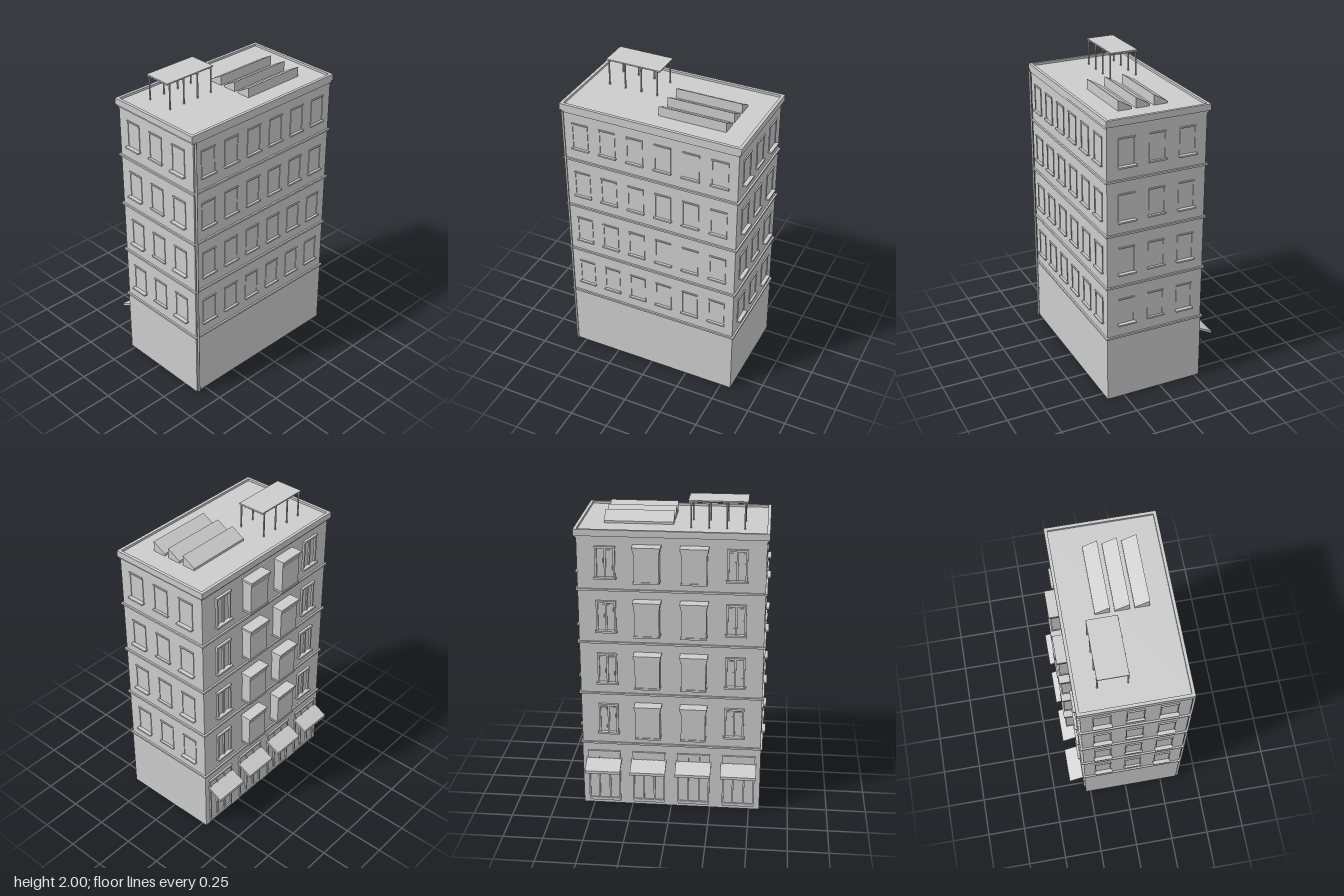
import * as THREE from 'three';

const wall = new THREE.MeshStandardMaterial({ color: 0xcccccc });
wall.name = 'plaster grey';

// Box given by its min and max corners
function box(parent, name, x0, x1, y0, y1, z0, z1) {
  const mesh = new THREE.Mesh(new THREE.BoxGeometry(x1 - x0, y1 - y0, z1 - z0), wall);
  mesh.position.set((x0 + x1) / 2, (y0 + y1) / 2, (z0 + z1) / 2);
  mesh.name = name;
  parent.add(mesh);
  return mesh;
}

function cylinder(parent, name, x, y0, y1, z, r) {
  const mesh = new THREE.Mesh(new THREE.CylinderGeometry(r, r, y1 - y0, 10), wall);
  mesh.position.set(x, (y0 + y1) / 2, z);
  mesh.name = name;
  parent.add(mesh);
}

// Side profile in (z, y) extruded along x
function prism(parent, name, points, x0, x1) {
  const shape = new THREE.Shape(points.map(([z, y]) => new THREE.Vector2(-z, y)));
  const geo = new THREE.ExtrudeGeometry(shape, { depth: x1 - x0, bevelEnabled: false });
  geo.rotateY(Math.PI / 2);
  const mesh = new THREE.Mesh(geo, wall);
  mesh.position.x = x0;
  mesh.name = name;
  parent.add(mesh);
}

// Window built on the z = 0 plane facing +z, y = 0 at the sill
function plainWindow(name, sillDepth = 0.016) {
  const g = new THREE.Group();
  g.name = name;
  box(g, 'sill', -0.058, 0.058, -0.005, 0.005, -0.01, sillDepth);
  box(g, 'lintel', -0.053, 0.053, 0.168, 0.176, -0.01, 0.008);
  for (const s of [-1, 1]) box(g, 'jamb', s * 0.05 - 0.003, s * 0.05 + 0.003, 0.005, 0.17, -0.01, 0.004);
  return g;
}

function casementWindow(name) {
  const g = new THREE.Group();
  g.name = name;
  box(g, 'sill', -0.067, 0.067, -0.006, 0.006, -0.01, 0.026);
  box(g, 'lintel', -0.062, 0.062, 0.186, 0.198, -0.01, 0.016);
  for (const s of [-1, 1]) box(g, 'jamb', s * 0.055 - 0.006, s * 0.055 + 0.006, 0, 0.19, -0.01, 0.012);
  box(g, 'mullion', -0.006, 0.006, 0, 0.19, -0.01, 0.009);
  for (const s of [-1, 1]) {
    box(g, 'sash', s * 0.028 - 0.016, s * 0.028 + 0.016, 0.018, 0.174, -0.01, 0.004);
  }
  return g;
}

function bayWindow(name) {
  const g = new THREE.Group();
  g.name = name;
  box(g, 'bayBody', -0.076, 0.076, 0.008, 0.215, -0.01, 0.062);
  box(g, 'bayBase', -0.08, 0.08, 0, 0.012, -0.01, 0.067);
  box(g, 'bayCap', -0.085, 0.085, 0.213, 0.226, -0.01, 0.074);
  box(g, 'bayHead', -0.08, 0.08, 0.19, 0.213, -0.01, 0.067);
  return g;
}

function shopfront(name) {
  const g = new THREE.Group();
  g.name = name;
  box(g, 'header', -0.105, 0.105, 0.37, 0.382, -0.01, 0.012);
  box(g, 'transom', -0.095, 0.095, 0.3, 0.37, -0.01, 0.006);
  box(g, 'rail', -0.1, 0.1, 0.288, 0.3, -0.01, 0.009);
  for (const x of [-0.098, -0.035, 0.035, 0.098]) box(g, 'post', x - 0.005, x + 0.005, 0.03, 0.37, -0.01, 0.01);
  box(g, 'plinth', -0.1, 0.1, 0.02, 0.04, -0.01, 0.009);
  return g;
}

export function createModel() {
  const model = new THREE.Group();
  model.name = 'apartmentBlock';
  const X = 0.566, F = 0.36, B = -0.28;

  // Walls and storey bands
  box(model, 'groundFloor', -X - 0.002, X + 0.002, 0, 0.432, B - 0.002, F + 0.002);
  box(model, 'upperWalls', -X, X, 0.43, 1.81, B, F);
  for (const y of [0.438, 0.785, 1.128, 1.47]) {
    box(model, 'storeyBand', -X - 0.011, X + 0.011, y - 0.006, y + 0.006, B - 0.011, F + 0.011);
  }

  // Cornice with a raised rim around the roof
  const rx = 0.581, rf = 0.369, rb = -0.297, w = 0.019;
  box(model, 'corniceMoulding', -X - 0.006, X + 0.006, 1.792, 1.808, B - 0.006, F + 0.006);
  box(model, 'roofSlab', -rx, rx, 1.806, 1.832, rb, rf);
  for (const s of [-1, 1]) {
    box(model, 'parapetSide', s * (rx - w / 2) - w / 2, s * (rx - w / 2) + w / 2, 1.832, 1.846, rb, rf);
  }
  box(model, 'parapetFront', -rx + w, rx - w, 1.832, 1.846, rf - w, rf);
  box(model, 'parapetBack', -rx + w, rx - w, 1.832, 1.846, rb, rb + w);

  // Windows and bays on each upper storey
  for (const y of [0.522, 0.866, 1.21, 1.554]) {
    for (let i = 0; i < 6; i++) {
      const win = plainWindow('frontWindow');
      win.position.set((i - 2.5) * 0.1815, y, F);
      model.add(win);
    }
    for (const s of [-1, 1]) {
      [0.235, 0.04, -0.155].forEach((z, i) => {
        const win = plainWindow('sideWindow', i === 1 ? 0.015 : 0.025);
        win.rotation.y = s * Math.PI / 2;
        win.position.set(s * X, y, z);
        model.add(win);
      });
      const bay = bayWindow('bayWindow');
      bay.rotation.y = Math.PI;
      bay.position.set(s * 0.142, y - 0.022, B);
      model.add(bay);
      const win = casementWindow('backWindow');
      win.rotation.y = Math.PI;
      win.position.set(s * 0.395, y - 0.007, B);
      model.add(win);
    }
  }

  // Shopfronts with sloping awnings
  for (const x of [-0.43, -0.143, 0.143, 0.43]) {
    const shop = shopfront('shopfront');
    shop.rotation.y = Math.PI;
    shop.position.set(x, 0, B - 0.002);
    model.add(shop);
    prism(model, 'awning', [[-0.28, 0.318], [-0.28, 0.332], [-0.384, 0.282], [-0.384, 0.264]], x - 0.112, x + 0.112);
  }

  // Rooftop panels, high edge to the front
  for (const z of [-0.095, 0.02, 0.135]) {
    prism(model, 'solarPanel', [[z, 1.83], [z, 1.846], [z + 0.087, 1.895], [z + 0.087, 1.83]], 0, 0.425);
  }

  // Pergola
  const pergola = new THREE.Group();
  pergola.name = 'pergola';
  model.add(pergola);
  box(pergola, 'pergolaRoof', -0.448, -0.092, 1.992, 2, -0.16, 0.02);
  for (let i = 0; i < 7; i++) {
    const z = -0.145 + i * 0.025;
    box(pergola, 'slat', -0.445, -0.095, 1.985, 1.992, z - 0.004, z + 0.004);
  }
  for (const x of [-0.43, -0.323, -0.216, -0.11]) {
    for (const z of [-0.157, 0.018]) cylinder(pergola, 'pergolaPost', x, 1.83, 1.993, z, 0.005);
    box(pergola, 'crossBeam', x - 0.004, x + 0.004, 1.981, 1.992, -0.163, 0.022);
  }

  // Rainwater pipe at the front corner
  cylinder(model, 'downpipe', -0.559, 0.01, 1.8, 0.373, 0.007);
  return model;
}
